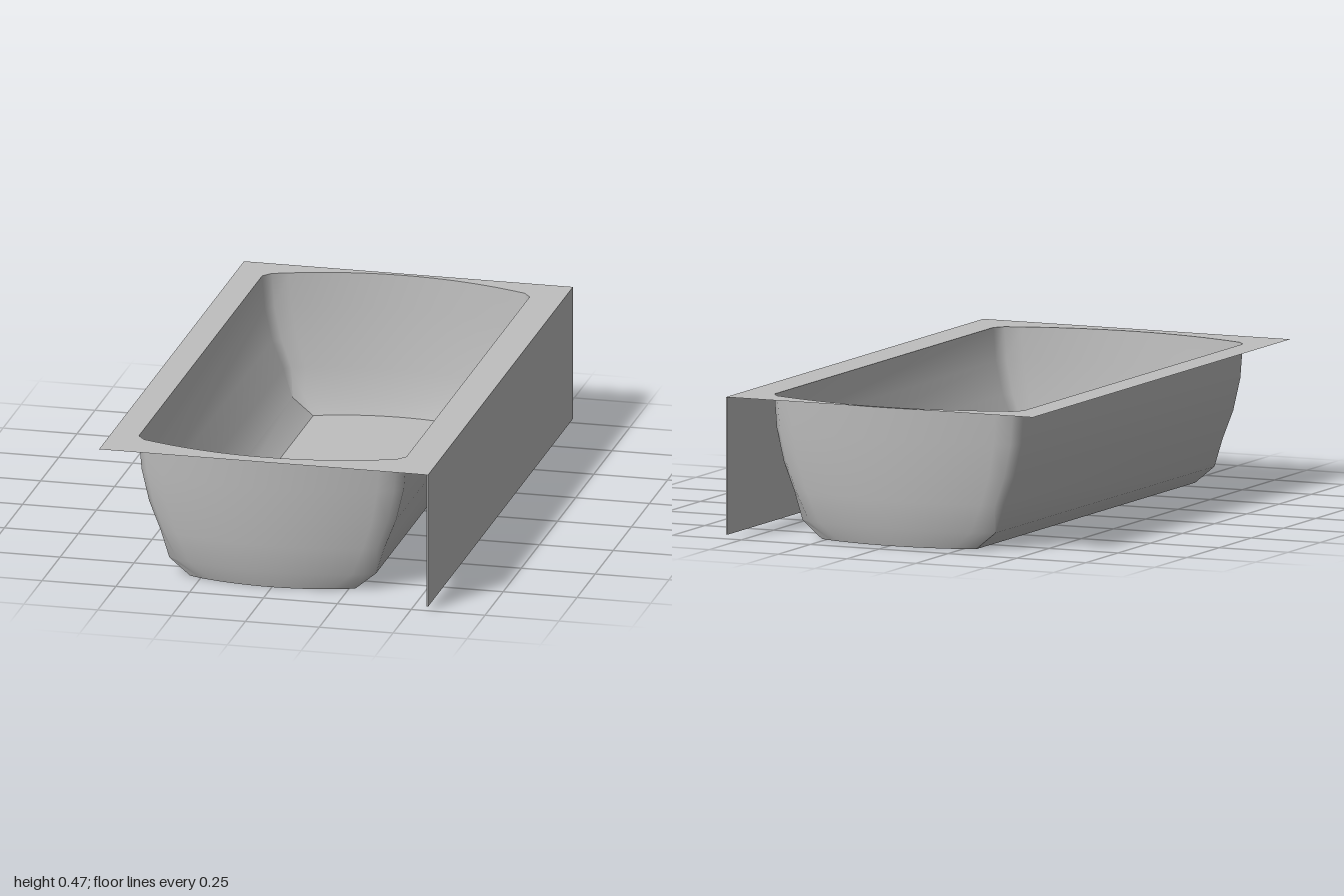
import * as THREE from 'three';
import { toCreasedNormals } from 'three/addons/utils/BufferGeometryUtils.js';

const RIM_Y = 0.473;
const ARC_STEPS = 16;

// Basin cross-sections from rim to floor:
// [height, half width, side end z, end-arc half width, end-arc corner z, end-arc middle z]
const LEVELS = [
  [RIM_Y, 0.453, 0.85, 0.428, 0.882, 0.966],
  [0.36, 0.444, 0.85, 0.418, 0.88, 0.958],
  [0.25, 0.418, 0.85, 0.395, 0.878, 0.948],
  [0.155, 0.38, 0.85, 0.36, 0.875, 0.936],
  [0.06, 0.35, 0.85, 0.315, 0.872, 0.922],
  [0.002, 0.28, 0.85, 0.235, 0.868, 0.902],
];

// Outline of one level: bowed ends joined by straight sides with cut corners
function ring([, w, side, arcW, arcZ, midZ]) {
  const points = [];
  for (const s of [1, -1]) {
    for (let i = 0; i <= ARC_STEPS; i++) {
      const t = 1 - (2 * i) / ARC_STEPS;
      points.push(new THREE.Vector2(s * t * arcW, s * (midZ - (midZ - arcZ) * t * t)));
    }
    points.push(new THREE.Vector2(-s * w, s * side), new THREE.Vector2(-s * w, -s * side));
  }
  return points.map((p) => p.add(new THREE.Vector2(-0.01, -0.017)));
}

// Loft the walls through all the levels
function wallGeometry() {
  const positions = [];
  const index = [];
  const rings = LEVELS.map(ring);
  const n = rings[0].length;
  rings.forEach((points, k) => points.forEach((p) => positions.push(p.x, LEVELS[k][0], p.y)));
  for (let k = 0; k < rings.length - 1; k++) {
    for (let i = 0; i < n; i++) {
      const a = k * n + i;
      const b = k * n + ((i + 1) % n);
      index.push(a, b, a + n, b, b + n, a + n);
    }
  }
  const geometry = new THREE.BufferGeometry();
  geometry.setAttribute('position', new THREE.Float32BufferAttribute(positions, 3));
  geometry.setIndex(index);
  return toCreasedNormals(geometry, 0.75);
}

// Flat horizontal sheet facing up, from an outline in x and z
function sheet(outline, y, hole) {
  const flip = (points) => points.map((p) => new THREE.Vector2(p.x, -p.y));
  const shape = new THREE.Shape(flip(outline));
  if (hole) shape.holes.push(new THREE.Path(flip(hole)));
  return new THREE.ShapeGeometry(shape).rotateX(-Math.PI / 2).translate(0, y, 0);
}

export function createModel() {
  const group = new THREE.Group();
  group.name = 'bathtub';
  const enamel = new THREE.MeshStandardMaterial({ color: 0xbfbfbf, side: THREE.DoubleSide });
  enamel.name = 'grey enamel';

  const add = (name, geometry) => {
    const mesh = new THREE.Mesh(geometry, enamel);
    mesh.name = name;
    group.add(mesh);
  };

  // Basin
  const floor = LEVELS[LEVELS.length - 1];
  add('basinWalls', wallGeometry());
  add('basinFloor', sheet(ring(floor), floor[0]));

  // Flat rim around the opening
  const corners = [[-0.557, -1], [0.557, -1], [0.557, 1], [-0.557, 1]];
  add('rim', sheet(corners.map(([x, z]) => new THREE.Vector2(x, z)), RIM_Y, ring(LEVELS[0])));

  // Thin apron panel hanging from one long side
  add('apron', new THREE.BoxGeometry(0.006, 0.457, 2).translate(0.554, 0.2445, 0));

  return group;
}
